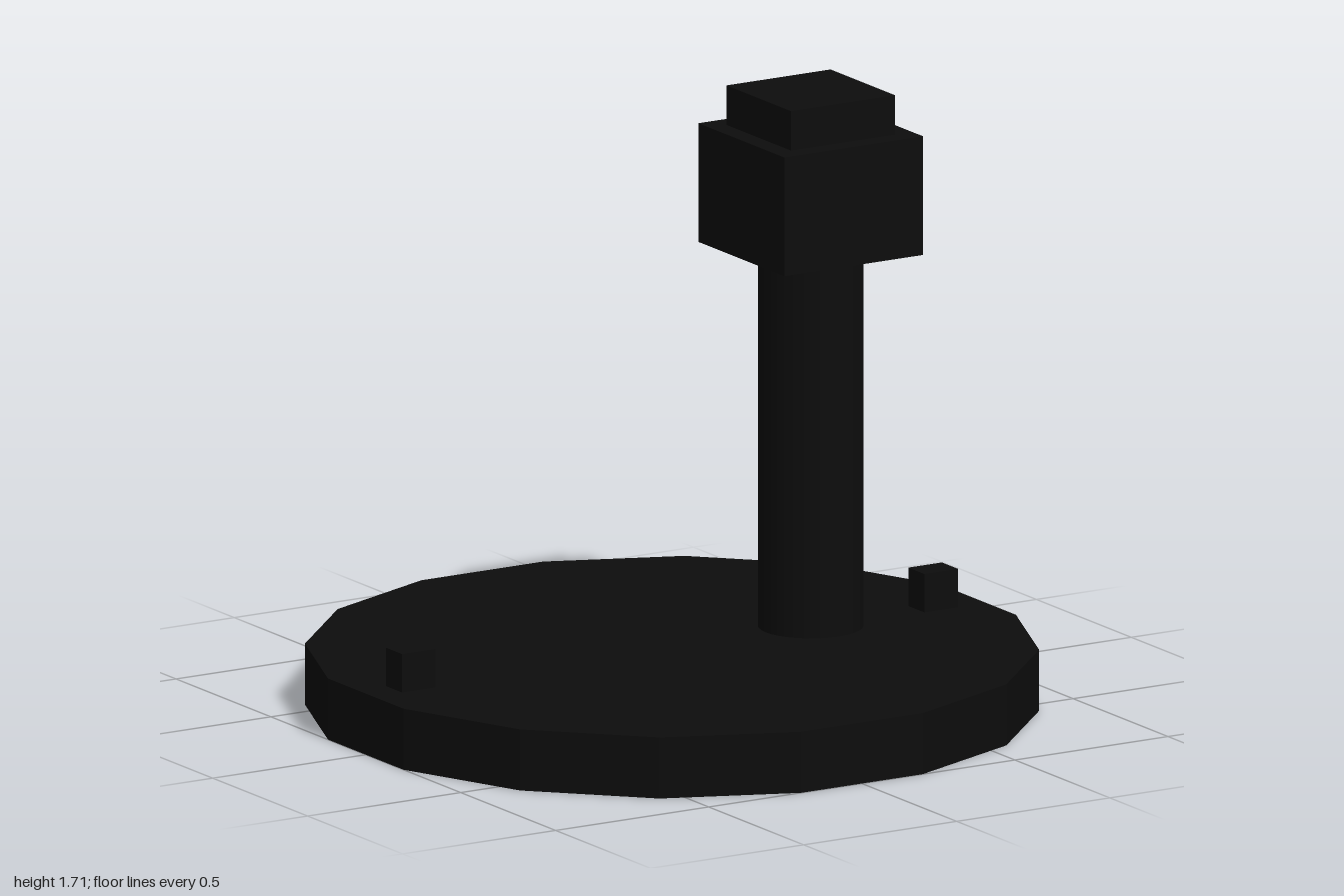
import * as THREE from 'three';

export function createModel() {
  const group = new THREE.Group();
  const black = new THREE.MeshStandardMaterial({ color: 0x0d0d0d, side: THREE.DoubleSide });
  black.name = 'black';

  const add = (parent, name, geometry, x = 0, y = 0, z = 0) => {
    const mesh = new THREE.Mesh(geometry, black);
    mesh.name = name;
    mesh.position.set(x, y, z);
    parent.add(mesh);
    return mesh;
  };
  // Box standing on height y0
  const block = (name, w, h, d, x, y0) =>
    add(group, name, new THREE.BoxGeometry(w, h, d), x, y0 + h / 2);

  // Base: sixteen-sided shell, open underneath, flats facing the axes
  const sides = 16, baseHeight = 0.175;
  const turn = Math.PI / sides;
  const radius = 1 / Math.cos(turn);
  const base = new THREE.Group();
  base.name = 'base';
  group.add(base);
  const rim = new THREE.CylinderGeometry(radius, radius, baseHeight, sides, 1, true, turn).toNonIndexed();
  rim.computeVertexNormals();
  add(base, 'baseRim', rim, 0, baseHeight / 2);
  add(base, 'baseTop', new THREE.CircleGeometry(radius, sides, turn).rotateX(-Math.PI / 2), 0, baseHeight);

  // Off-centre post with a square head and cap
  const postX = 0.453, headY = 1.255, headHeight = 0.34;
  const postHeight = headY - baseHeight;
  add(group, 'post', new THREE.CylinderGeometry(0.147, 0.147, postHeight, 32, 1, true),
    postX, baseHeight + postHeight / 2);
  block('head', 0.453, headHeight, 0.453, postX, headY);
  block('cap', 0.34, 0.113, 0.34, postX, headY + headHeight);

  // Small pegs at both edges of the base
  for (const [name, side] of [['leftPeg', 1], ['rightPeg', -1]]) {
    block(name, 0.11, 0.11, 0.085, side * 0.853, baseHeight);
  }

  return group;
}
